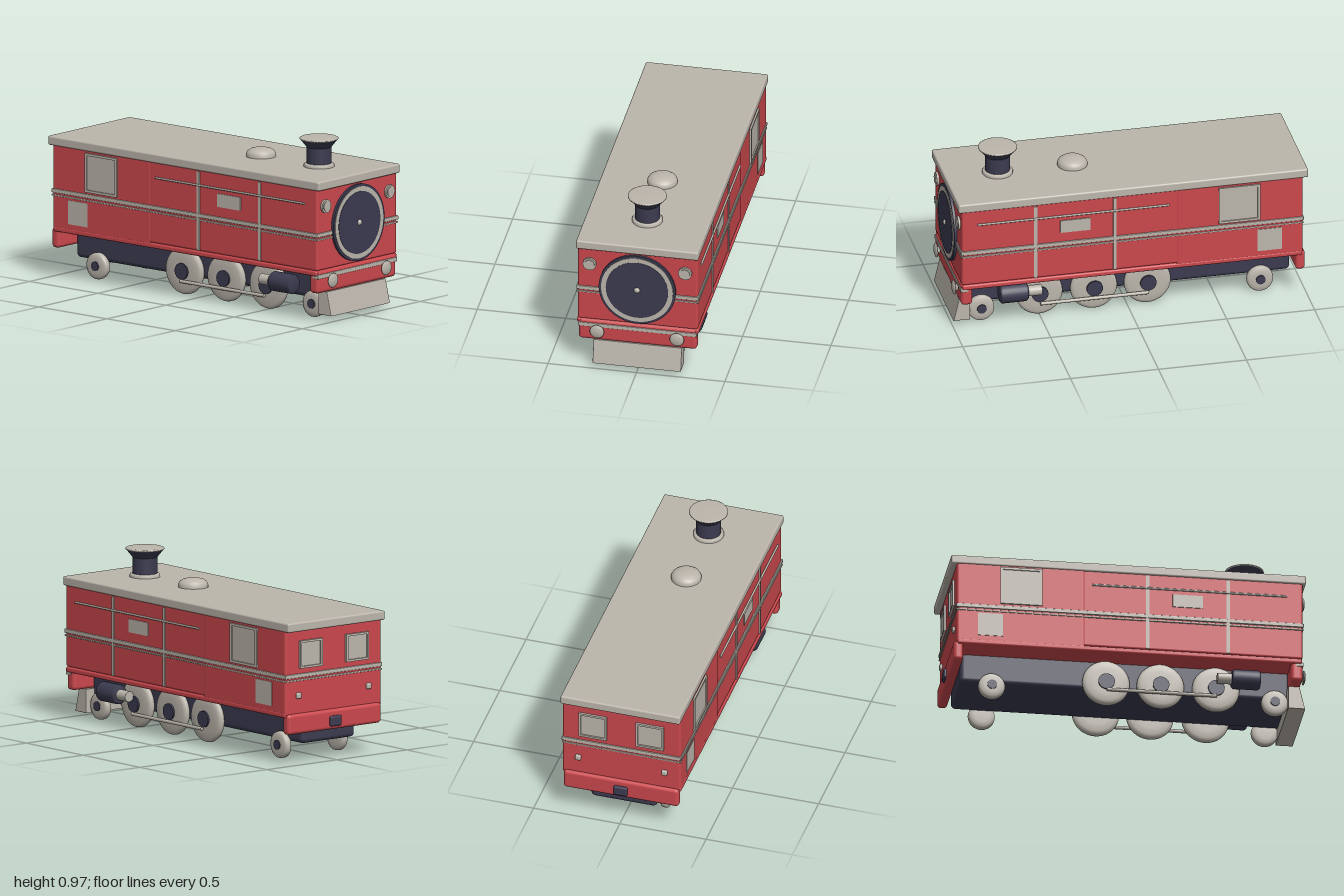
import * as THREE from 'three';
import { RoundedBoxGeometry } from 'three/addons/geometries/RoundedBoxGeometry.js';

export function createModel() {
  const model = new THREE.Group();
  model.name = 'locomotive';
  const material = (name, color) => {
    const m = new THREE.MeshStandardMaterial({ color });
    m.name = name;
    return m;
  };
  const red = material('red paint', 0xcb484d);
  const grey = material('warm grey', 0xbcb6ac);
  const navy = material('dark navy', 0x3b3b50);

  const add = (name, geometry, mat, x = 0, y = 0, z = 0) => {
    const mesh = new THREE.Mesh(geometry, mat);
    mesh.name = name;
    mesh.position.set(x, y, z);
    model.add(mesh);
    return mesh;
  };
  // Box given by half width and its y and z limits, centred on x = 0
  const block = (name, mat, halfX, y0, y1, z0, z1, r = 0.01) =>
    add(name, new RoundedBoxGeometry(halfX * 2, y1 - y0, z1 - z0, 3, r), mat, 0, (y0 + y1) / 2, (z0 + z1) / 2);
  // Box given by its centre and size
  const box = (name, mat, x, y, z, w, h, d) => add(name, new THREE.BoxGeometry(w, h, d), mat, x, y, z);
  // Cylinders along z and along x
  const rodZ = (name, mat, x, y, z, r, len, seg = 32) =>
    add(name, new THREE.CylinderGeometry(r, r, len, seg).rotateX(Math.PI / 2), mat, x, y, z);
  const rodX = (name, mat, x, y, z, r, len, seg = 32) =>
    add(name, new THREE.CylinderGeometry(r, r, len, seg).rotateZ(Math.PI / 2), mat, x, y, z);
  const lathe = (points, seg = 40) => new THREE.LatheGeometry(points.map(p => new THREE.Vector2(...p)), seg);

  // Body shell
  block('chassis', navy, 0.19, 0.1, 0.29, -0.93, 0.92, 0.025);
  block('boilerCasing', red, 0.339, 0.295, 0.76, -0.3, 0.968, 0.012);
  block('cab', red, 0.342, 0.275, 0.76, -0.968, -0.25, 0.012);
  block('footplate', red, 0.344, 0.265, 0.295, -0.965, 0.965);
  block('roof', grey, 0.346, 0.75, 0.802, -1, 0.987);
  block('waistBand', grey, 0.346, 0.485, 0.508, -0.974, 0.974, 0.004);
  block('thinWaistBand', grey, 0.345, 0.467, 0.476, -0.973, 0.973, 0.003);

  // End beams and coupling
  block('frontBeam', red, 0.334, 0.165, 0.295, 0.905, 0.97, 0.02);
  block('rearBeam', red, 0.334, 0.17, 0.285, -0.985, -0.93, 0.02);
  block('frontBeamStrip', grey, 0.336, 0.25, 0.274, 0.93, 0.974, 0.003);
  block('rearCoupling', navy, 0.04, 0.19, 0.248, -1, -0.96);

  // Sloping front guard
  const guard = new THREE.Shape([[0.99, 0.035], [0.905, 0.035], [0.905, 0.16], [0.96, 0.16]]
    .map(([z, y]) => new THREE.Vector2(-z, y)));
  add('frontGuard', new THREE.ExtrudeGeometry(guard, {
    depth: 0.49, bevelThickness: 0.005, bevelSize: 0.005, bevelSegments: 2,
  }).translate(0, 0, -0.245).rotateY(Math.PI / 2), grey);

  // Smokebox door
  rodZ('smokeboxRim', navy, 0, 0.523, 0.97, 0.217, 0.026, 64);
  rodZ('doorRing', grey, 0, 0.523, 0.973, 0.203, 0.026, 64);
  rodZ('smokeboxDoor', navy, 0, 0.523, 0.975, 0.176, 0.026, 64);
  add('doorKnob', new THREE.SphereGeometry(0.018, 20, 14), grey, 0, 0.523, 0.982);

  // Chimney and dome
  add('chimneyBase', lathe([[0.085, 0], [0.085, 0.014], [0.08, 0.02], [0.068, 0.022]]), grey, 0, 0.8, 0.69);
  add('chimneyStack', new THREE.CylinderGeometry(0.069, 0.069, 0.1, 40), navy, 0, 0.865, 0.69);
  add('chimneyFlare', new THREE.CylinderGeometry(0.104, 0.069, 0.043, 40), navy, 0, 0.934, 0.69);
  add('chimneyCap', lathe([[0.1, 0], [0.108, 0.003], [0.108, 0.009], [0.1, 0.013], [0, 0.014]]), grey, 0, 0.954, 0.69);
  const dome = lathe([[0.084, 0], [0.084, 0.016], [0.077, 0.03], [0.06, 0.042], [0.035, 0.049], [0, 0.051]]);
  add('steamDome', dome, grey, 0, 0.801, 0.265);

  // Wheel with softly rounded edges, axle along x
  const wheelGeometry = r => lathe([
    [0, -0.026], [r * 0.55, -0.026], [r * 0.85, -0.022], [r * 0.97, -0.015], [r, -0.006],
    [r, 0.006], [r * 0.97, 0.015], [r * 0.85, 0.022], [r * 0.55, 0.026], [0, 0.026],
  ], 48).rotateZ(Math.PI / 2);
  const bigWheel = wheelGeometry(0.132);
  const smallWheel = wheelGeometry(0.075);

  for (const s of [-1, 1]) {
    // Wheels and hubs
    for (const z of [0.5, 0.19, -0.115]) {
      add('drivingWheel', bigWheel, grey, s * 0.204, 0.135, z);
      rodX('drivingHub', navy, s * 0.22, 0.135, z, 0.046, 0.04);
    }
    for (const z of [0.83, -0.755]) {
      add('carryingWheel', smallWheel, grey, s * 0.201, 0.075, z);
      rodX('carryingHub', navy, s * 0.215, 0.077, z, 0.027, 0.036);
    }
    rodZ('couplingRod', grey, s * 0.245, 0.081, 0.193, 0.01, 0.615, 12);

    // Steam cylinder and piston
    const barrel = lathe([[0, -0.08], [0.044, -0.08], [0.055, -0.068], [0.055, 0.068], [0.044, 0.08], [0, 0.08]], 24);
    add('steamCylinder', barrel.rotateX(Math.PI / 2), navy, s * 0.265, 0.18, 0.66);
    rodZ('piston', grey, s * 0.265, 0.18, 0.545, 0.03, 0.09, 24);

    // Side ribs, handrail, blank plate, window and lower panel
    for (const z of [0.55, 0.1]) box('boilerBand', grey, s * 0.34, 0.522, z, 0.01, 0.445, 0.018);
    rodZ('handrail', grey, s * 0.344, 0.668, 0.335, 0.006, 1.09, 10);
    box('blankPlate', grey, s * 0.34, 0.602, 0.325, 0.008, 0.075, 0.17);
    const wz = -0.608;
    for (const e of [-1, 1]) {
      box('windowFrame', grey, s * 0.345, 0.63 + e * 0.104, wz, 0.014, 0.014, 0.235);
      box('windowFrame', grey, s * 0.345, 0.63, wz + e * 0.11, 0.014, 0.222, 0.014);
    }
    box('cabWindow', grey, s * 0.341, 0.63, wz, 0.008, 0.205, 0.22);
    box('cabPanel', grey, s * 0.341, 0.388, -0.78, 0.008, 0.135, 0.14);

    // Rear windows and lamps
    const rx = s * 0.165;
    for (const e of [-1, 1]) {
      box('rearWindowFrame', grey, rx, 0.615 + e * 0.072, -0.972, 0.16, 0.012, 0.018);
      box('rearWindowFrame', grey, rx + e * 0.074, 0.615, -0.972, 0.012, 0.15, 0.018);
    }
    box('rearWindow', grey, rx, 0.615, -0.968, 0.15, 0.146, 0.008);
    add('rearLamp', new RoundedBoxGeometry(0.034, 0.034, 0.024, 3, 0.01), grey, s * 0.25, 0.385, -0.972);

    // Headlamps and round bumpers
    rodZ('headlampRim', grey, s * 0.27, 0.655, 0.97, 0.038, 0.02);
    rodZ('headlampLens', grey, s * 0.27, 0.655, 0.974, 0.028, 0.022);
    rodZ('bumperShank', grey, s * 0.226, 0.231, 0.975, 0.02, 0.03, 20);
    const head = lathe([[0, 0], [0.038, 0], [0.041, 0.004], [0.038, 0.009], [0.022, 0.014], [0, 0.016]], 32);
    add('bumperHead', head.rotateX(Math.PI / 2), grey, s * 0.226, 0.231, 0.984);
  }
  return model;
}
